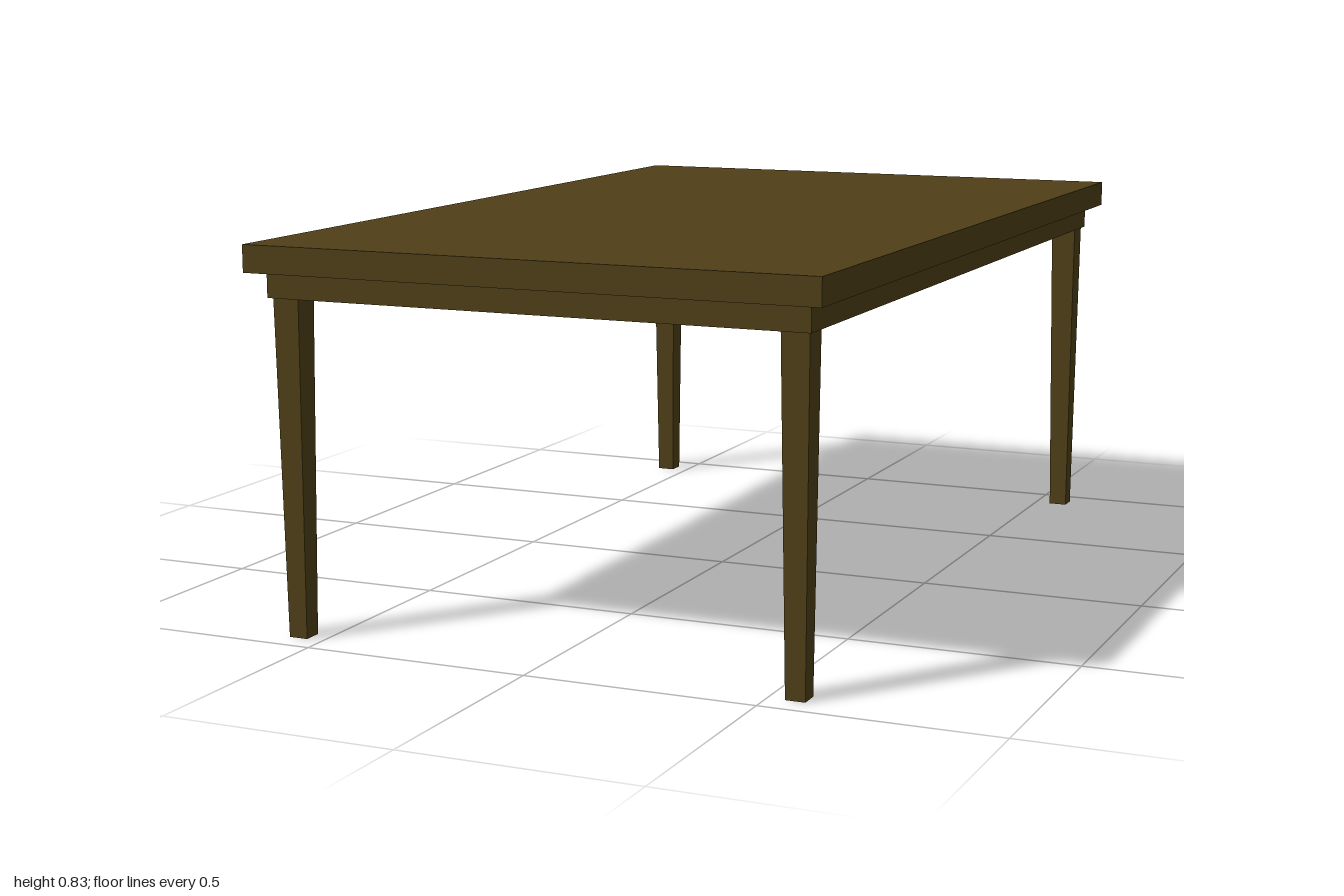
import * as THREE from 'three';

export function createModel() {
  const table = new THREE.Group();
  table.name = 'table';
  const wood = new THREE.MeshStandardMaterial({ color: 0x4f3f17, flatShading: true });

  const add = (name, geometry, x, y, z) => {
    const mesh = new THREE.Mesh(geometry, wood);
    mesh.name = name;
    mesh.position.set(x, y, z);
    table.add(mesh);
  };

  // Thick slab top
  const width = 1.256, length = 2, topY = 0.83, slab = 0.058;
  add('tableTop', new THREE.BoxGeometry(width, slab, length), 0, topY - slab / 2, 0);

  // Apron: four rails, set in from the edge of the top
  const apronX = 0.594, apronZ = 0.966, rail = 0.066, railHeight = 0.054;
  const railY = topY - slab - railHeight / 2;
  for (const s of [-1, 1]) {
    add(s > 0 ? 'leftRail' : 'rightRail',
      new THREE.BoxGeometry(rail, railHeight, 2 * apronZ), s * (apronX - rail / 2), railY, 0);
    add(s > 0 ? 'frontRail' : 'backRail',
      new THREE.BoxGeometry(2 * (apronX - rail), railHeight, rail), 0, railY, s * (apronZ - rail / 2));
  }

  // Square legs tapering towards the floor
  const legHeight = railY - railHeight / 2;
  const legGeometry = new THREE.CylinderGeometry(0.0295 * Math.SQRT2, 0.021 * Math.SQRT2, legHeight, 4);
  legGeometry.rotateY(Math.PI / 4);
  for (const x of [-1, 1]) {
    for (const z of [-1, 1]) {
      const name = (z > 0 ? 'front' : 'back') + (x > 0 ? 'Left' : 'Right') + 'Leg';
      add(name, legGeometry, x * 0.558, legHeight / 2, z * 0.925);
    }
  }
  return table;
}
